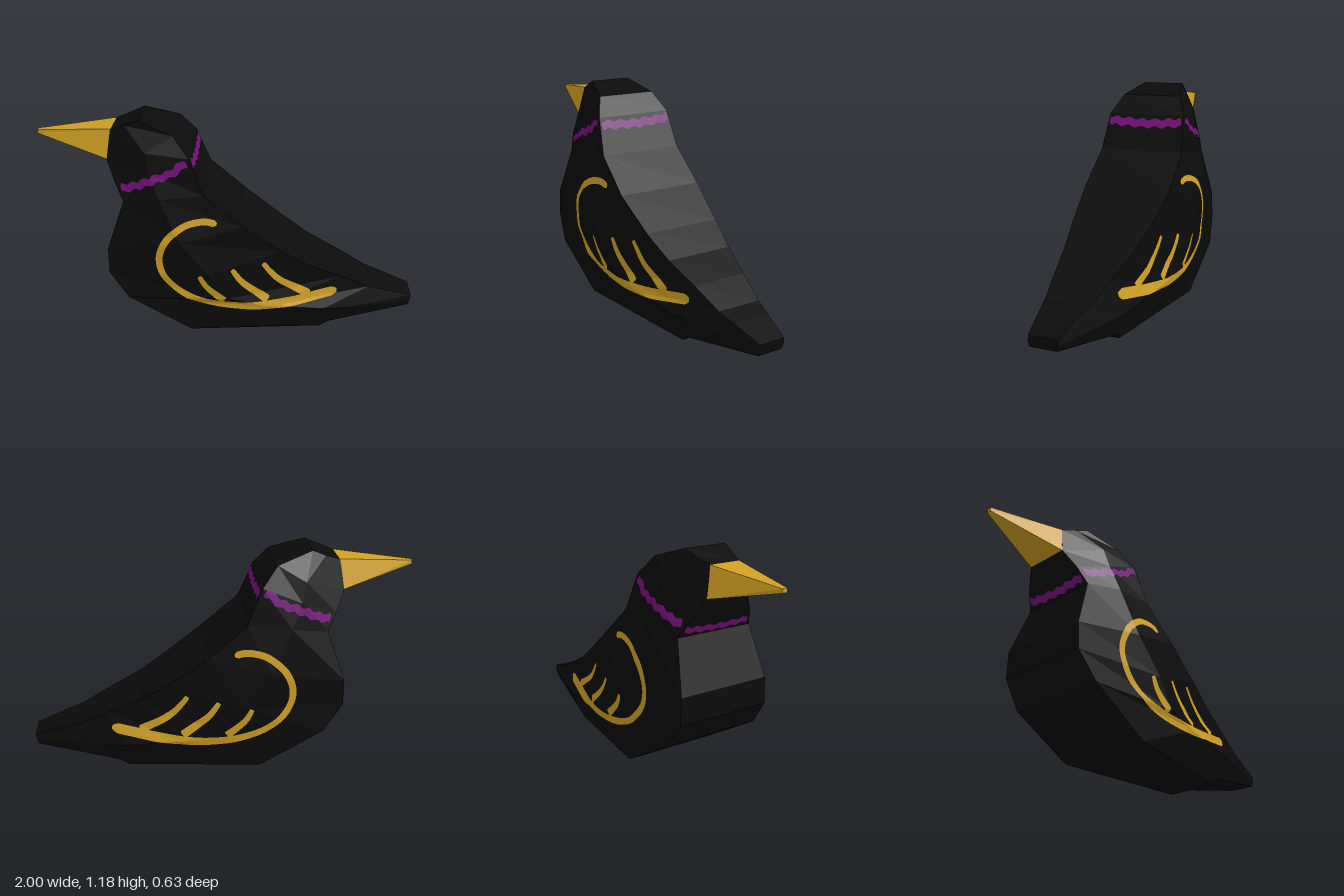
import * as THREE from 'three';

const black = new THREE.MeshStandardMaterial({ color: 0x0b0b0b, flatShading: true });
black.name = 'blackPlumage';
const gold = new THREE.MeshStandardMaterial({ color: 0xd0a024, flatShading: true, side: THREE.DoubleSide });
gold.name = 'gold';
const purple = new THREE.MeshStandardMaterial({ color: 0x76107a, flatShading: true, side: THREE.DoubleSide });
purple.name = 'purple';

// Skin a list of equal-length loops and close both ends
function loft(loops) {
  const n = loops[0].length, idx = [];
  for (let s = 0; s < loops.length - 1; s++) {
    for (let i = 0; i < n; i++) {
      const a = s * n + i, b = s * n + (i + 1) % n, d = a + n, c = b + n;
      idx.push(a, d, c, a, c, b);
    }
  }
  const e = (loops.length - 1) * n;
  for (let i = 1; i < n - 1; i++) idx.push(0, i, i + 1, e, e + i + 1, e + i);
  const g = new THREE.BufferGeometry();
  g.setAttribute('position', new THREE.Float32BufferAttribute(loops.flat(2), 3));
  g.setIndex(idx);
  g.computeVertexNormals();
  return g;
}

function part(name, geometry, material) {
  const mesh = new THREE.Mesh(geometry, material);
  mesh.name = name;
  return mesh;
}

// Cross-sections from crown to tail: front/belly, flank and back, each [x, y, halfWidth]
const sections = [
  [[-0.61, 1.12, 0.085], [-0.53, 1.148, 0.105], [-0.46, 1.178, 0.115]],
  [[-0.63, 0.97, 0.12], [-0.42, 1.04, 0.2], [-0.28, 1.12, 0.165]],
  [[-0.585, 0.87, 0.18], [-0.4, 0.94, 0.225], [-0.2, 1.02, 0.215]],
  [[-0.54, 0.78, 0.215], [-0.35, 0.81, 0.255], [-0.125, 0.83, 0.235]],
  [[-0.63, 0.52, 0.255], [-0.25, 0.58, 0.29], [0.07, 0.66, 0.24]],
  [[-0.63, 0.38, 0.26], [-0.1, 0.4, 0.295], [0.275, 0.51, 0.215]],
  [[-0.53, 0.24, 0.28], [0, 0.25, 0.285], [0.43, 0.41, 0.185]],
  [[-0.2, 0.04, 0.27], [0.2, 0.2, 0.262], [0.6, 0.33, 0.15]],
  [[0.5, 0, 0.145], [0.51, 0.16, 0.215], [0.755, 0.25, 0.12]],
  [[0.55, 0.04, 0.155], [0.62, 0.15, 0.185], [0.85, 0.22, 0.1]],
  [[0.99, 0.11, 0.07], [0.995, 0.14, 0.075], [1.0, 0.17, 0.07]],
];

// Painted stripe: a ribbon along a 2D curve, dropped onto the body along a direction
function stripe(body, points, width, place, dir, wave = 0) {
  const curve = new THREE.SplineCurve(points.map(p => new THREE.Vector2(...p)));
  const ray = new THREE.Raycaster(), steps = 70, across = 3, pos = [], hit = [], idx = [];
  for (let i = 0; i <= steps; i++) {
    const t = i / steps, p = curve.getPoint(t), tan = curve.getTangent(t);
    // rounded ends
    const end = Math.min(1, 0.35 + Math.min(t, 1 - t) * 25);
    for (let j = 0; j <= across; j++) {
      const off = (j / across - 0.5) * width(t) * end + wave * Math.sin(t * 38);
      const from = place(p.x - tan.y * off, p.y + tan.x * off);
      ray.set(from, dir);
      const h = ray.intersectObject(body)[0];
      hit.push(!!h);
      pos.push(...(h ? h.point : from).clone().addScaledVector(dir, -0.004).toArray());
    }
  }
  const row = across + 1;
  for (let i = 0; i < steps; i++) {
    for (let j = 0; j < across; j++) {
      const a = i * row + j, b = a + 1, c = a + row, d = c + 1;
      if (hit[a] && hit[b] && hit[c] && hit[d]) idx.push(a, c, b, b, c, d);
    }
  }
  const g = new THREE.BufferGeometry();
  g.setAttribute('position', new THREE.Float32BufferAttribute(pos, 3));
  g.setIndex(idx);
  g.computeVertexNormals();
  return g;
}

// Wing outline and three feather strokes as [x, y]
const wingOutline = [[-0.06, 0.68], [-0.13, 0.695], [-0.23, 0.67], [-0.32, 0.59], [-0.36, 0.48],
  [-0.33, 0.37], [-0.23, 0.275], [-0.08, 0.22], [0.12, 0.2], [0.32, 0.213], [0.46, 0.235], [0.58, 0.255]];
const feathers = [
  [[-0.15, 0.39], [-0.11, 0.32], [-0.02, 0.24]],
  [[0.02, 0.425], [0.08, 0.34], [0.21, 0.235]],
  [[0.18, 0.45], [0.27, 0.345], [0.43, 0.25]],
];
const collarSide = [[-0.215, 1.005], [-0.29, 0.945], [-0.38, 0.91], [-0.47, 0.87], [-0.55, 0.845]];

export function createModel() {
  const model = new THREE.Group();
  model.name = 'bird';
  const bird = new THREE.Group();
  bird.name = 'turnedBird';
  // the whole bird is turned slightly
  bird.rotation.y = 0.118;
  bird.position.z = -0.03;
  model.add(bird);

  // Head, body and tail in one faceted skin
  const loops = sections.map(s => [
    ...s.map(([x, y, w]) => [x, y, w]),
    ...s.slice().reverse().map(([x, y, w]) => [x, y, -w]),
  ]);
  const body = part('body', loft(loops), black);
  bird.add(body);

  // Four-sided beak with a blunt tip
  const beakLoop = (xl, yl, wl, xt, yt, wt) => [[xl, yl, wl], [xl, yl, -wl], [xt, yt, -wt], [xt, yt, wt]];
  bird.add(part('beak', loft([
    beakLoop(-0.62, 0.968, 0.122, -0.6, 1.122, 0.087),
    beakLoop(-1.005, 1.062, 0.013, -1.005, 1.082, 0.013),
  ]), gold));

  // Wing strokes and collar on both flanks
  for (const [side, s] of [['left', 1], ['right', -1]]) {
    const dir = new THREE.Vector3(0, 0, -s);
    const place = (x, y) => new THREE.Vector3(x, y, s);
    bird.add(part(side + 'WingOutline',
      stripe(body, wingOutline, t => 0.036 + 0.018 * THREE.MathUtils.smoothstep(t, 0.5, 0.85), place, dir), gold));
    feathers.forEach((f, i) => bird.add(part(side + 'Feather' + (i + 1),
      stripe(body, f, t => 0.024 + 0.022 * t, place, dir), gold)));
    bird.add(part(side + 'Collar', stripe(body, collarSide, () => 0.04, place, dir, 0.006), purple));
  }

  // Collar across the nape and the throat
  bird.add(part('napeCollar', stripe(body, [[-0.21, 0.985], [0, 0.975], [0.21, 0.985]], () => 0.042,
    (z, y) => new THREE.Vector3(2, y, z), new THREE.Vector3(-1, 0, 0), 0.006), purple));
  bird.add(part('throatCollar', stripe(body, [[-0.19, 0.815], [0, 0.805], [0.19, 0.815]], () => 0.035,
    (z, y) => new THREE.Vector3(-2, y, z), new THREE.Vector3(1, 0, 0), 0.005), purple));

  return model;
}
